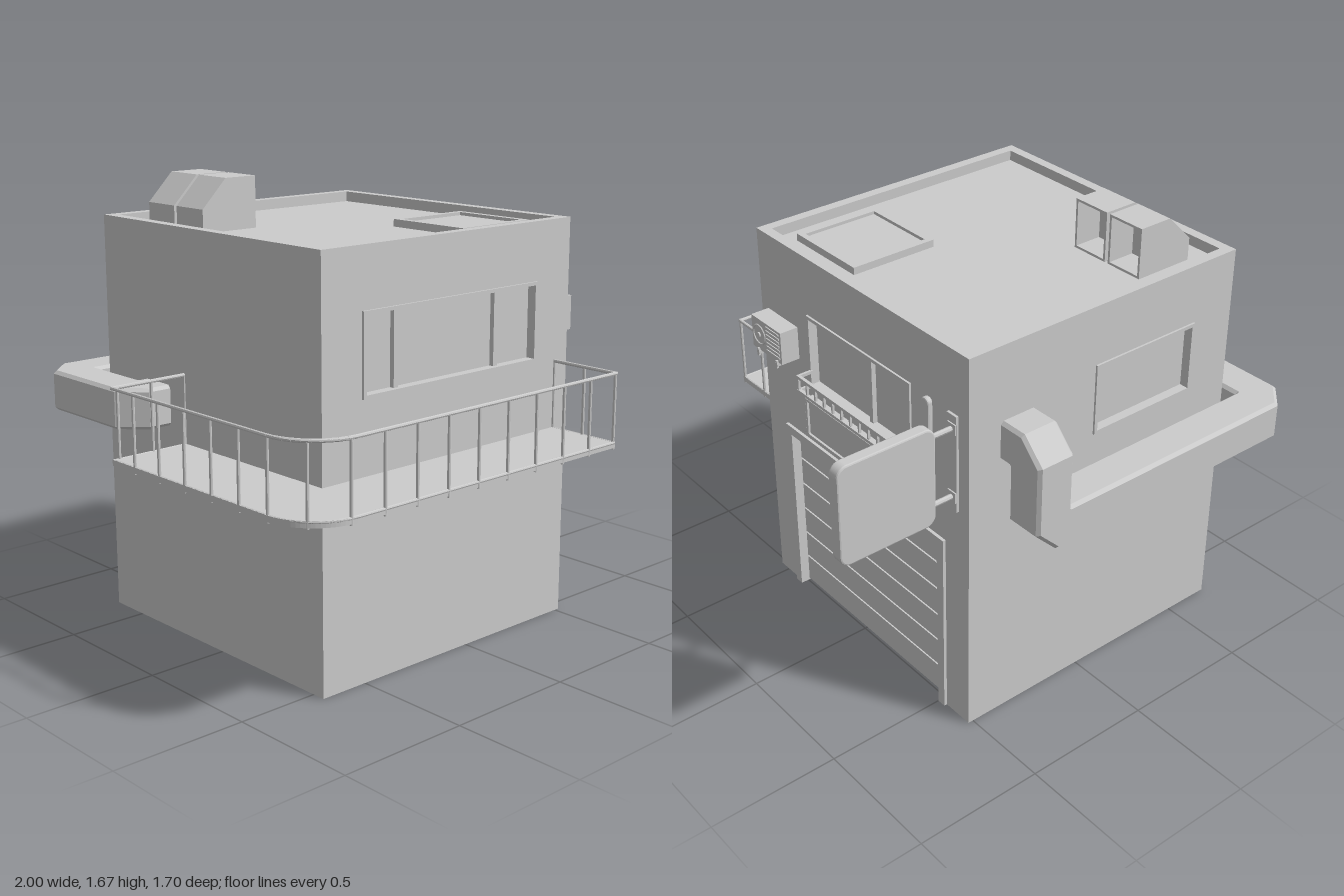
import * as THREE from 'three';

const mat = new THREE.MeshStandardMaterial({ color: 0xcccccc, side: THREE.DoubleSide, flatShading: true });

function add(parent, name, geo, x = 0, y = 0, z = 0) {
  const m = new THREE.Mesh(geo, mat);
  m.name = name;
  m.position.set(x, y, z);
  parent.add(m);
  return m;
}

// Box given by its lower and upper limits
function block(parent, name, x0, x1, y0, y1, z0, z1) {
  return add(parent, name, new THREE.BoxGeometry(x1 - x0, y1 - y0, z1 - z0),
    (x0 + x1) / 2, (y0 + y1) / 2, (z0 + z1) / 2);
}

// Round bar between two points
function bar(parent, name, a, b, r) {
  const d = b.clone().sub(a);
  const m = add(parent, name, new THREE.CylinderGeometry(r, r, d.length() + r, 8));
  m.position.copy(a).addScaledVector(d, 0.5);
  m.quaternion.setFromUnitVectors(new THREE.Vector3(0, 1, 0), d.normalize());
}

const poly = pts => new THREE.Shape(pts.map(p => new THREE.Vector2(...p)));
const rect = (x0, x1, y0, y1) => poly([[x0, y0], [x1, y0], [x1, y1], [x0, y1]]);
const extrude = (shape, depth, more = {}) =>
  new THREE.ExtrudeGeometry(shape, { depth, bevelEnabled: false, curveSegments: 10, ...more });

function ring(x0, x1, y0, y1, t) {
  const s = rect(x0, x1, y0, y1);
  s.holes.push(rect(x0 + t, x1 - t, y0 + t, y1 - t));
  return s;
}

function roundRect(w, h, r) {
  const s = new THREE.Shape(), a = w / 2 - r, b = h / 2 - r, q = Math.PI / 2;
  [[a, b], [-a, b], [-a, -b], [a, -b]].forEach(([x, y], i) => s.absarc(x, y, r, i * q, (i + 1) * q));
  return s;
}

// Wall-mounted bevelled plate
function plate(parent, name, u, v, w, h, r, z, depth) {
  const b = 0.006;
  add(parent, name, extrude(roundRect(w - 2 * b, h - 2 * b, r), depth - 2 * b,
    { bevelEnabled: true, bevelSize: b, bevelThickness: b, bevelSegments: 2 }), u, v, z + b);
}

// Framed window sunk into a wall, local z = 0 at the wall face
function windowUnit(parent, name, x0, x1, y0, y1, mullions) {
  const g = new THREE.Group();
  g.name = name;
  parent.add(g);
  add(g, 'windowFrame', extrude(ring(x0, x1, y0, y1, 0.013), 0.044), 0, 0, -0.036);
  block(g, 'windowGlass', x0 + 0.01, x1 - 0.01, y0 + 0.01, y1 - 0.01, -0.038, -0.028);
  for (const u of mullions) block(g, 'mullion', u - 0.01, u + 0.01, y0 + 0.01, y1 - 0.01, -0.036, -0.01);
}

// Square duct swept along right-angled corners, with chamfered outer bends
function ductGeometry(path, h, cut) {
  const P = path.map(p => new THREE.Vector3(...p));
  const dir = i => P[i + 1].clone().sub(P[i]).normalize();
  const d0 = dir(0), up = new THREE.Vector3(0, 1, 0), side = new THREE.Vector3().crossVectors(d0, up);
  const e = h - 0.012;
  let sec = [[h, -e], [h, e], [e, h], [-e, h], [-h, e], [-h, -e], [-e, -h], [e, -h]]
    .map(([a, b]) => side.clone().multiplyScalar(a).addScaledVector(up, b));
  const rings = [sec.map(s => s.clone().add(P[0]))];
  for (let i = 1; i < P.length - 1; i++) {
    const d1 = dir(i - 1), d2 = dir(i);
    const shift = s => -cut / 2 - s.dot(d2) * (h - cut / 2) / h;
    const turned = sec.map(s => s.clone().addScaledVector(d2, -s.dot(d2)).addScaledVector(d1, -s.dot(d2)));
    rings.push(sec.map(s => s.clone().add(P[i]).addScaledVector(d1, shift(s))));
    rings.push(turned.map((t, k) => t.clone().add(P[i]).addScaledVector(d2, -shift(sec[k]))));
    sec = turned;
  }
  rings.push(sec.map(s => s.clone().add(P[P.length - 1])));
  const tri = [];
  for (let i = 0; i + 1 < rings.length; i++)
    for (let k = 0; k < 8; k++) {
      const n = (k + 1) % 8, [a, b, c, d] = [rings[i][k], rings[i][n], rings[i + 1][n], rings[i + 1][k]];
      tri.push(a, b, c, a, c, d);
    }
  const g = new THREE.BufferGeometry().setFromPoints(tri);
  g.computeVertexNormals();
  return g;
}

export function createModel() {
  const model = new THREE.Group();
  model.name = 'building';
  const V = (x, y, z) => new THREE.Vector3(x, y, z);
  const wall = (name, x, z, turn) => {
    const g = new THREE.Group();
    g.name = name;
    g.position.set(x, 0, z);
    g.rotation.y = turn;
    model.add(g);
    return g;
  };

  // Core, roof and walls that rise into a parapet
  block(model, 'core', -0.69, 0.48, 0, 1.48, -0.62, 0.51);
  block(model, 'parapet', -0.69, -0.65, 1.48, 1.52, -0.62, 0.51);

  const front = wall('frontWall', 0, 0.55, 0);
  const frontShape = rect(-0.69, 0.48, 0, 1.52);
  frontShape.holes.push(rect(-0.505, 0.335, 1.015, 1.295));
  add(front, 'wallPanel', extrude(frontShape, 0.04), 0, 0, -0.04);
  windowUnit(front, 'frontWindow', -0.513, 0.343, 1.007, 1.303, [-0.35, 0.14]);

  const back = wall('backWall', 0, -0.66, Math.PI);
  const backShape = rect(-0.48, 0.69, 0, 1.52);
  backShape.holes.push(rect(0.04, 0.495, 1.025, 1.285));
  add(back, 'wallPanel', extrude(backShape, 0.04), 0, 0, -0.04);
  windowUnit(back, 'backWindow', 0.032, 0.503, 1.017, 1.293, []);

  // Side wall with the shutter opening; local x runs toward the back
  const side = wall('shutterWall', 0.52, 0, Math.PI / 2);
  const sideShape = poly([[-0.55, 0], [-0.39, 0], [-0.39, 0.715], [0.5, 0.715], [0.5, 0],
    [0.66, 0], [0.66, 1.52], [-0.55, 1.52]]);
  sideShape.holes.push(rect(-0.24, 0.35, 1.005, 1.285));
  add(side, 'wallPanel', extrude(sideShape, 0.04), 0, 0, -0.04);
  windowUnit(side, 'sideWindow', -0.247, 0.357, 0.998, 1.292, [0.11]);

  // Roller shutter and its frame
  add(side, 'shutterFrame', extrude(poly([[-0.425, 0], [-0.39, 0], [-0.39, 0.715], [0.5, 0.715], [0.5, 0],
    [0.535, 0], [0.535, 0.75], [-0.425, 0.75]]), 0.05), 0, 0, -0.038);
  for (let i = 0; i < 6; i++) {
    const y = 0.008 + i * 0.118;
    block(side, 'shutterSlat', -0.39, 0.5, y, y + 0.11, -0.04, -0.026);
  }

  // Panel over the shutter
  add(side, 'panelFrame', extrude(ring(-0.243, 0.357, 0.798, 0.96, 0.011), 0.035));
  block(side, 'panelFace', -0.235, 0.35, 0.805, 0.953, 0, 0.026);

  // Small rail below the side window
  for (const y of [1.006, 1.064])
    block(side, 'windowRail', -0.24, 0.355, y - 0.006, y + 0.006, 0.055, 0.068);
  for (const u of [-0.235, 0.35])
    for (const y of [1.006, 1.064]) block(side, 'windowRailEnd', u - 0.005, u + 0.005, y - 0.006, y + 0.006, 0, 0.062);
  for (let i = 0; i <= 11; i++) {
    const u = -0.235 + i * 0.0532;
    block(side, 'windowRailPost', u - 0.004, u + 0.004, 1.006, 1.064, 0.057, 0.066);
  }

  // Upright wall lamps and the mounting plate of the hanging board
  plate(side, 'wallLamp', -0.285, 0.875, 0.04, 0.18, 0.012, 0, 0.022);
  plate(side, 'wallLamp', 0.455, 1.198, 0.04, 0.185, 0.012, 0, 0.022);
  block(side, 'boardMount', 0.558, 0.608, 0.91, 1.285, 0, 0.01);

  // Air conditioner on brackets
  const ac = new THREE.Group();
  ac.name = 'airConditioner';
  side.add(ac);
  block(ac, 'casing', -0.5, -0.31, 1.085, 1.215, 0.005, 0.08);
  add(ac, 'fanRing', new THREE.TorusGeometry(0.038, 0.004, 6, 24), -0.453, 1.15, 0.08);
  add(ac, 'fanHub', new THREE.CylinderGeometry(0.01, 0.01, 0.008, 12).rotateX(Math.PI / 2), -0.453, 1.15, 0.082);
  for (let i = 0; i < 7; i++) {
    const y = 1.102 + i * 0.016;
    block(ac, 'grilleSlat', -0.405, -0.32, y, y + 0.007, 0.08, 0.084);
  }
  for (const u of [-0.455, -0.335]) {
    block(ac, 'bracket', u - 0.007, u + 0.007, 1.073, 1.086, 0, 0.09);
    block(ac, 'bracketLip', u - 0.005, u + 0.005, 1.065, 1.095, 0.082, 0.09);
  }

  // Hanging board on two arms
  plate(model, 'hangingBoard', 0.808, 1.095, 0.384, 0.38, 0.035, -0.61, 0.046);
  for (const y of [0.968, 1.235]) {
    bar(model, 'boardArm', V(0.5, y, -0.587), V(0.64, y, -0.587), 0.01);
    block(model, 'armFlange', 0.52, 0.535, y - 0.02, y + 0.02, -0.607, -0.567);
  }

  // Duct wrapping the back corner
  add(model, 'duct', ductGeometry([[0.31, 1.16, -0.63], [0.31, 1.16, -0.778], [0.31, 0.865, -0.778],
    [-0.795, 0.865, -0.778], [-0.795, 0.865, -0.352], [-0.67, 0.865, -0.352]], 0.076, 0.09));

  // Balcony slab
  const slab = new THREE.Shape();
  slab.moveTo(-0.69, -0.55).lineTo(0.46, -0.55).lineTo(0.46, -0.84).lineTo(-0.8, -0.84);
  slab.absarc(-0.8, -0.64, 0.2, -Math.PI / 2, -Math.PI, true);
  slab.lineTo(-1, 0.195).lineTo(-0.69, 0.195);
  add(model, 'balconySlab', extrude(slab, 0.022).rotateX(-Math.PI / 2), 0, 0.718, 0);

  // Balcony railing
  const rail = [V(0.455, 0, 0.55), V(0.455, 0, 0.836)];
  for (let i = 0; i <= 10; i++) {
    const a = (i / 10) * Math.PI / 2;
    rail.push(V(-0.8 - 0.194 * Math.sin(a), 0, 0.642 + 0.194 * Math.cos(a)));
  }
  rail.push(V(-0.994, 0, -0.19), V(-0.69, 0, -0.19));
  const at = (p, y) => V(p.x, y, p.z);
  const path = new THREE.CurvePath();
  for (let i = 0; i + 1 < rail.length; i++) {
    path.add(new THREE.LineCurve3(rail[i], rail[i + 1]));
    bar(model, 'handrail', at(rail[i], 0.993), at(rail[i + 1], 0.993), 0.007);
    bar(model, 'lowerRail', at(rail[i], 0.736), at(rail[i + 1], 0.736), 0.006);
  }
  for (let i = 0; i <= 21; i++) {
    const p = path.getPoint(i / 21);
    bar(model, 'railingPost', at(p, 0.716), at(p, 0.993), 0.006);
  }

  // Roof hatch
  add(model, 'hatchFrame', extrude(ring(0.07, 0.42, -0.44, -0.09, 0.023), 0.028).rotateX(-Math.PI / 2), 0, 1.48, 0);
  block(model, 'hatchPane', 0.08, 0.41, 1.48, 1.496, 0.1, 0.43);

  // Twin roof vents with sloped backs and open mouths
  for (const z of [-0.385, -0.555]) {
    const w = 0.155;
    add(model, 'ventHood', extrude(poly([[-0.56, 1.48], [-0.43, 1.48], [-0.43, 1.67], [-0.455, 1.67], [-0.56, 1.565]]), w), 0, 0, z);
    add(model, 'ventMouth', extrude(ring(-z - w, -z, 1.48, 1.67, 0.009), 0.11).rotateY(Math.PI / 2), -0.43, 0, 0);
  }
  return model;
}
